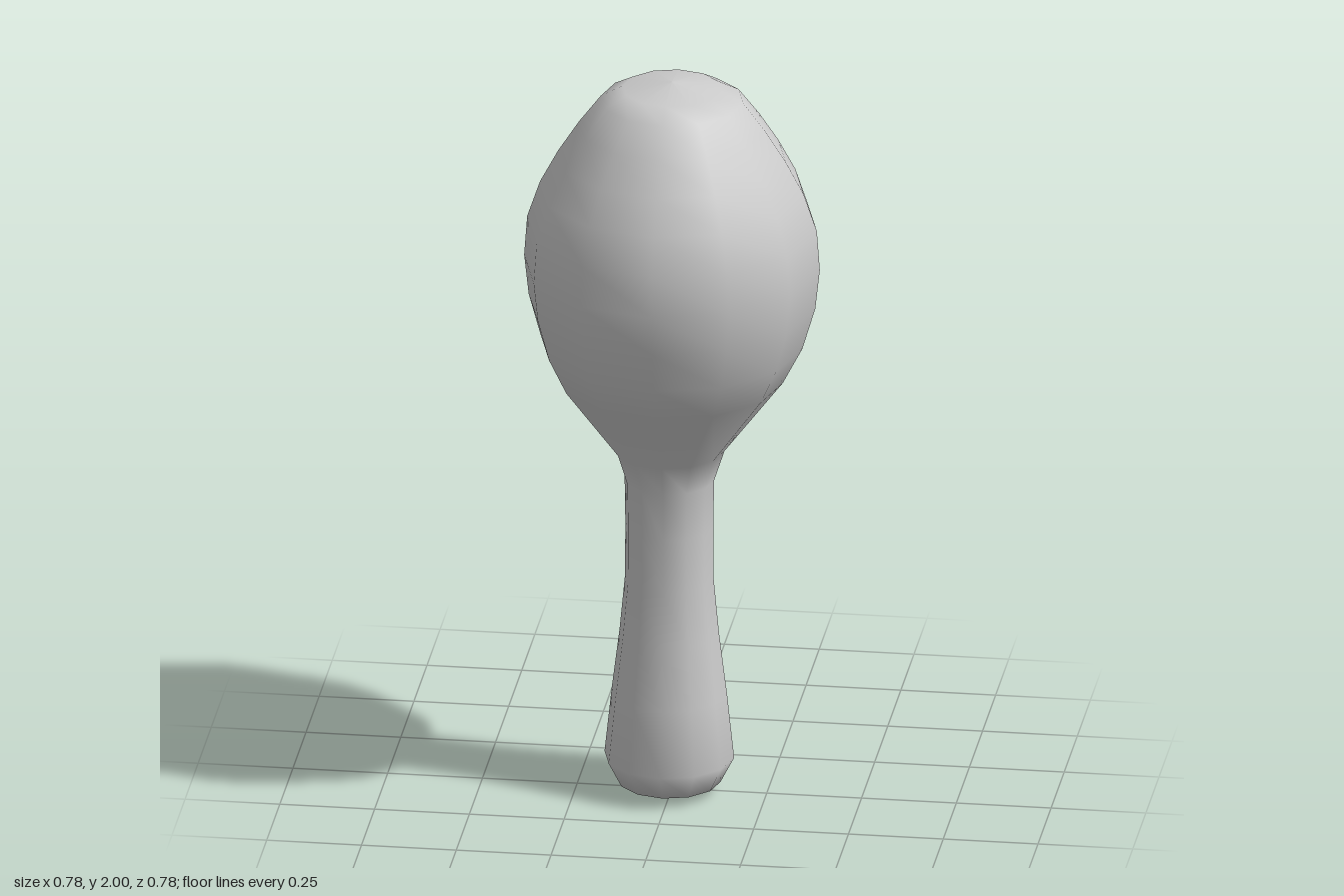
import * as THREE from 'three';

const SIDES = 12;

// Turns [radius, height] pairs into a smooth twelve-sided solid
function turned(name, profile, material) {
  const points = profile.map(([r, y]) => new THREE.Vector2(r, y));
  const mesh = new THREE.Mesh(new THREE.LatheGeometry(points, SIDES), material);
  mesh.name = name;
  return mesh;
}

export function createModel() {
  const group = new THREE.Group();
  group.name = 'maraca';
  const material = new THREE.MeshStandardMaterial({ color: 0xcccccc });

  // Handle: domed butt, flared grip and slim neck
  const handle = [
    [0, 0.005], [0.135, 0.03], [0.171, 0.1], [0.152, 0.28],
    [0.131, 0.45], [0.117, 0.6], [0.116, 0.75], [0.118, 0.88],
  ];
  // Head: egg-shaped shell blending out of the neck
  const head = [
    [0.145, 0.965], [0.295, 1.165], [0.345, 1.265], [0.378, 1.38],
    [0.39, 1.49], [0.382, 1.6], [0.348, 1.7], [0.3, 1.79],
    [0.245, 1.875], [0.188, 1.95], [0.13, 1.982], [0, 2],
  ];
  const body = turned('handleAndHead', [...handle, ...head], material);

  // The handle leans very slightly off the axis of the head
  const pos = body.geometry.attributes.position;
  for (let i = 0; i < pos.count; i++) {
    const lean = 1 - THREE.MathUtils.smoothstep(pos.getY(i), 0.88, 1.4);
    pos.setX(i, pos.getX(i) - 0.007 * lean);
  }

  group.add(body);
  return group;
}
